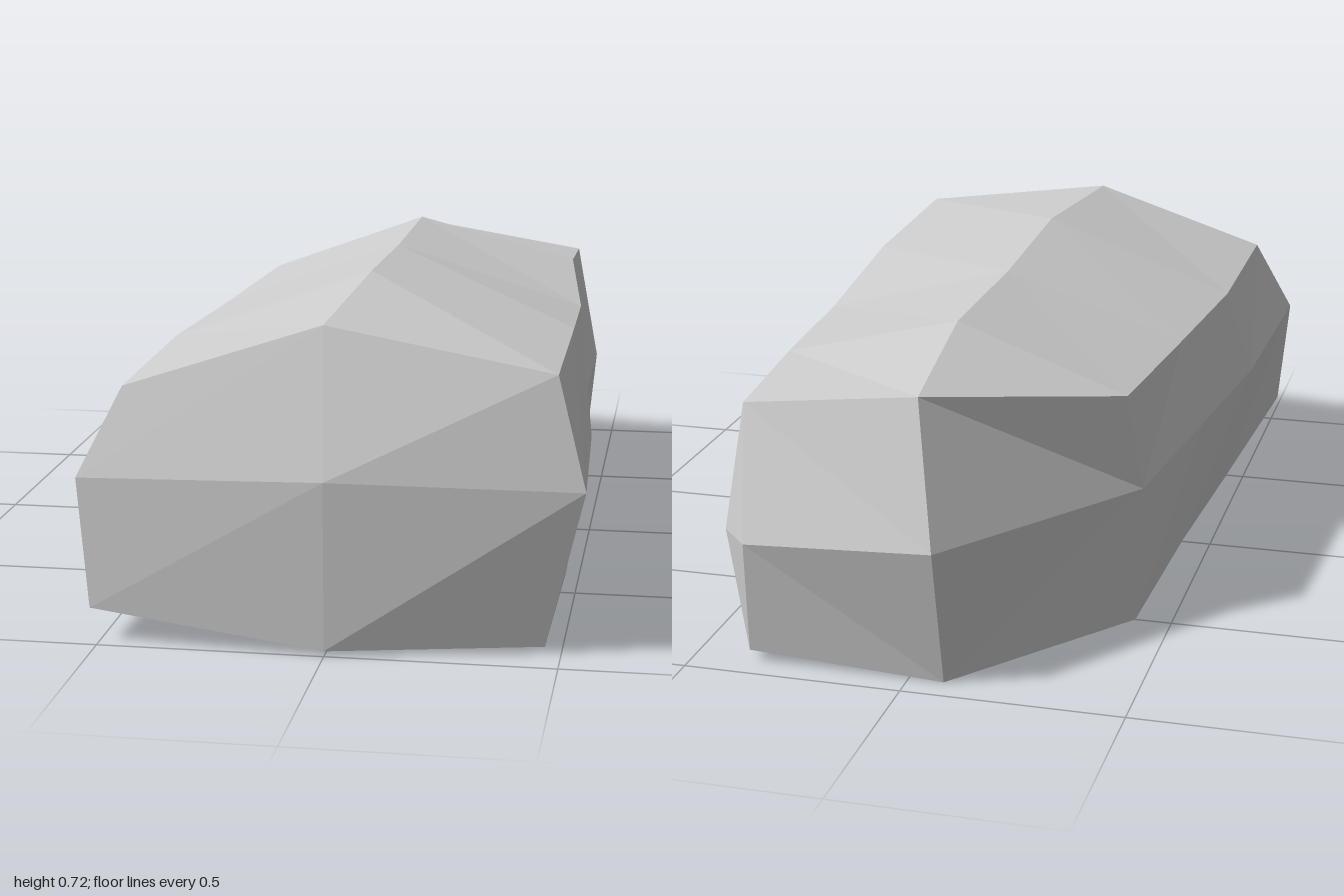
import * as THREE from 'three';

const stone = new THREE.MeshStandardMaterial({ color: 0xcccccc, flatShading: true });
stone.name = 'stone grey';

// Cross-sections from front to back. Each runs counter-clockwise seen from the front:
// bottom centre, bottom left, side left, top left, ridge, top right, side right, bottom right
const sections = [
  [[0, 0.012, 1], [0.465, 0.015, 0.91], [0.55, 0.375, 0.96], [0.485, 0.615, 0.915],
    [-0.02, 0.695, 0.87], [-0.46, 0.55, 0.88], [-0.55, 0.36, 0.95], [-0.52, 0.075, 0.975]],
  [[0, 0.01, 0.4], [0.47, 0.01, 0.4], [0.525, 0.35, 0.4], [0.48, 0.605, 0.4],
    [0.005, 0.72, 0.37], [-0.465, 0.55, 0.37], [-0.53, 0.34, 0.4], [-0.47, 0.035, 0.4]],
  [[0, 0.01, -0.05], [0.465, 0.01, -0.05], [0.48, 0.335, -0.02], [0.465, 0.565, -0.05],
    [0, 0.7, -0.09], [-0.43, 0.55, -0.07], [-0.485, 0.34, -0.05], [-0.44, 0.025, -0.05]],
  [[-0.02, 0.01, -0.5], [0.44, 0.012, -0.5], [0.48, 0.34, -0.51], [0.41, 0.595, -0.52],
    [0, 0.7, -0.53], [-0.395, 0.555, -0.53], [-0.43, 0.33, -0.51], [-0.415, 0, -0.5]],
];
// The last section shares its right corner with the one before, cutting the back corner off
sections.push([[-0.08, 0, -0.935], [0.37, 0.025, -0.935], [0.44, 0.285, -0.875],
  [0.405, 0.57, -0.83], [-0.01, 0.63, -0.87], ...sections[3].slice(5)]);

export function createModel() {
  const positions = [];
  const tri = (a, b, c) => {
    if (a !== b && b !== c && c !== a) positions.push(...a, ...b, ...c);
  };
  // Quad split along a-c
  const quad = (a, b, c, d) => { tri(a, b, c); tri(a, c, d); };

  // Sides, top and underside
  for (let i = 0; i < sections.length - 1; i++) {
    const s = sections[i], n = sections[i + 1];
    for (let j = 0; j < 8; j++) {
      const k = (j + 1) % 8;
      quad(s[j], n[j], n[k], s[k]);
    }
  }

  // Front end
  const [fb, fbl, fl, ftl, ft, ftr, fr, fbr] = sections[0];
  const front = [0, 0.385, 1];
  quad(fbr, fb, front, fr);
  quad(fb, fbl, fl, front);
  quad(front, fl, ftl, ft);
  quad(fr, front, ft, ftr);

  // Back end, with a small bevel at the left corner
  const [bb, bbl, bl, btl, bt, btr, br, bbr] = sections[4];
  const back = [-0.075, 0.325, -1], corner = [0.365, 0.29, -0.965];
  quad(corner, bbl, bb, back);
  quad(back, bt, btl, corner);
  quad(bb, bbr, br, back);
  quad(br, btr, bt, back);
  tri(bl, bbl, corner);
  tri(bl, corner, btl);

  const geometry = new THREE.BufferGeometry();
  geometry.setAttribute('position', new THREE.Float32BufferAttribute(positions, 3));
  geometry.computeVertexNormals();

  const rock = new THREE.Mesh(geometry, stone);
  rock.name = 'rock';
  const model = new THREE.Group();
  model.name = 'longRock';
  model.add(rock);
  return model;
}
